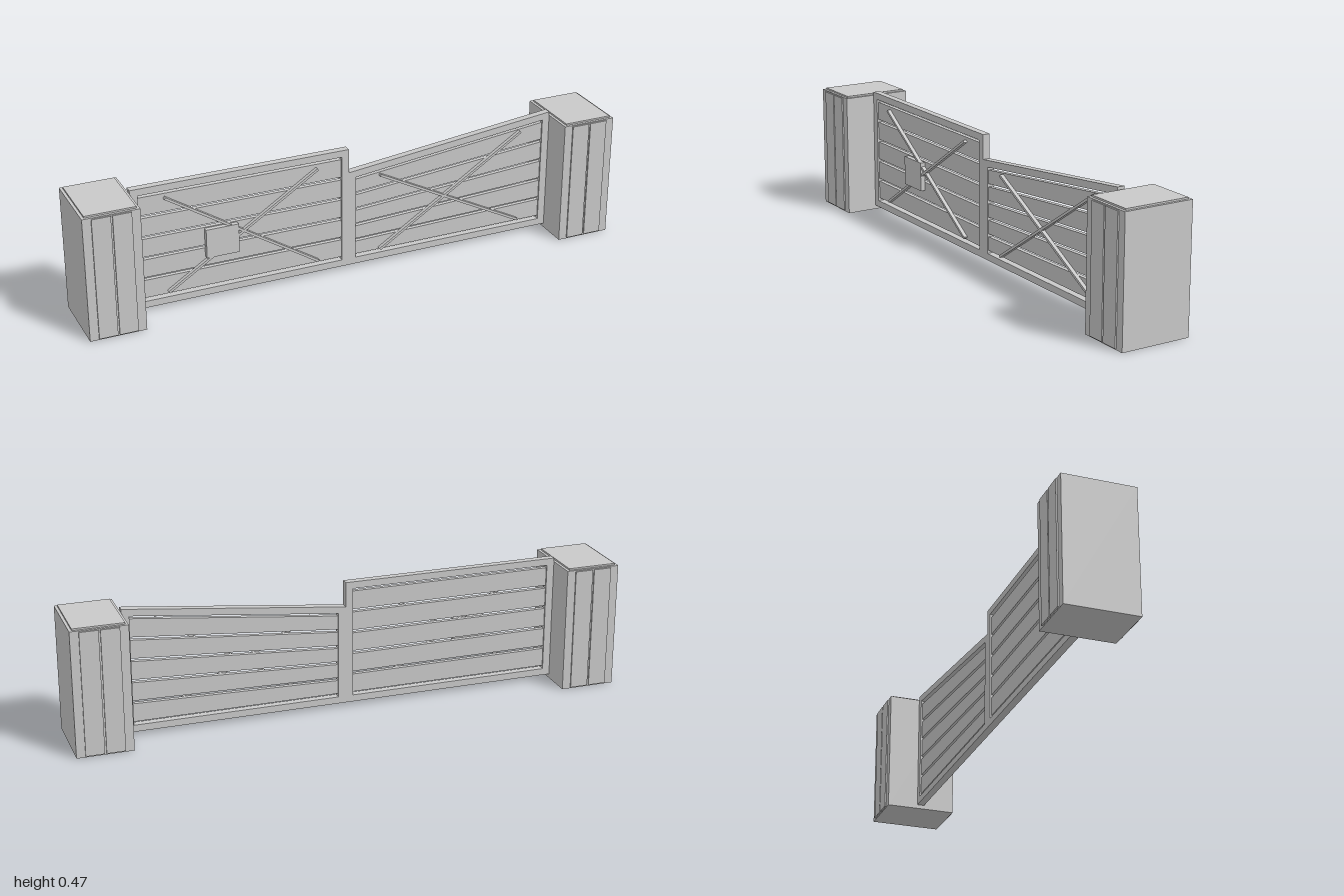
import * as THREE from 'three';

const grey = new THREE.MeshStandardMaterial({ color: 0xc8c8c8 });
grey.name = 'grey';

function box(name, x0, x1, y0, y1, z0, z1) {
  const mesh = new THREE.Mesh(new THREE.BoxGeometry(x1 - x0, y1 - y0, z1 - z0), grey);
  mesh.position.set((x0 + x1) / 2, (y0 + y1) / 2, (z0 + z1) / 2);
  mesh.name = name;
  return mesh;
}

// Four-cornered slab with vertical ends; l and r are [bottom, top] heights
function slab(name, x0, x1, l, r, z0, z1) {
  const shape = new THREE.Shape([
    new THREE.Vector2(x0, l[0]), new THREE.Vector2(x1, r[0]),
    new THREE.Vector2(x1, r[1]), new THREE.Vector2(x0, l[1]),
  ]);
  const geo = new THREE.ExtrudeGeometry(shape, { depth: z1 - z0, bevelEnabled: false });
  geo.translate(0, 0, z0);
  const mesh = new THREE.Mesh(geo, grey);
  mesh.name = name;
  return mesh;
}

// Thin diagonal bar between two points
function brace(x0, y0, x1, y1) {
  const dx = x1 - x0, dy = y1 - y0;
  const mesh = new THREE.Mesh(new THREE.BoxGeometry(Math.hypot(dx, dy), 0.009, 0.014), grey);
  mesh.position.set((x0 + x1) / 2, (y0 + y1) / 2, 0.015);
  mesh.rotation.z = Math.atan2(dy, dx);
  mesh.name = 'brace';
  return mesh;
}

// Gate pillar with cap plate and raised strips on front and back
function pillar(name, cx) {
  const g = new THREE.Group();
  g.name = name;
  g.add(box('pillarBody', cx - 0.1, cx + 0.1, 0, 0.457, -0.13, 0.13));
  g.add(box('pillarCap', cx - 0.09, cx + 0.09, 0.457, 0.463, -0.12, 0.12));
  for (const s of [-1, 1]) {
    for (const x of [-0.036, 0.036]) {
      const z = s * 0.1325;
      g.add(box('pillarStrip', cx + x - 0.033, cx + x + 0.033, 0.005, 0.453, z - 0.0025, z + 0.0025));
    }
  }
  return g;
}

// Gate leaf: frame, spaced boards and crossed braces; top runs from topL to topR
function leaf(name, x0, topL, topR, braces) {
  const g = new THREE.Group();
  g.name = name;
  const x1 = x0 + 0.8, t = 0.027, d = 0.0135, base = 0.015, rail = 0.025;
  const top = (x) => topL + (topR - topL) * (x - x0) / 0.8;
  const xa = x0 + t, xb = x1 - t;
  g.add(slab('stile', x0, xa, [base, top(x0)], [base, top(xa)], -d, d));
  g.add(slab('stile', xb, x1, [base, top(xb)], [base, top(x1)], -d, d));
  g.add(box('bottomRail', xa, xb, base, base + rail, -d, d));
  g.add(slab('topRail', xa, xb, [top(xa) - rail, top(xa)], [top(xb) - rail, top(xb)], -d, d));

  // Five boards share the opening, with six equal gaps
  const count = 5, gap = 0.011, low = base + rail;
  const span = (x, i) => {
    const h = (top(x) - rail - low - gap * (count + 1)) / count;
    const y = low + gap + i * (h + gap);
    return [y, y + h];
  };
  for (let i = 0; i < count; i++) {
    g.add(slab('board', xa, xb, span(xa, i), span(xb, i), -0.008, 0.008));
  }
  for (const b of braces) g.add(brace(...b));
  return g;
}

export function createModel() {
  const model = new THREE.Group();
  model.name = 'gate';
  model.add(pillar('rightPillar', -0.9), pillar('leftPillar', 0.9));

  const right = leaf('rightLeaf', -0.8, 0.47, 0.47,
    [[-0.68, 0.42, -0.12, 0.06], [-0.68, 0.06, -0.12, 0.42]]);
  right.add(box('lockBox', -0.54, -0.42, 0.165, 0.273, 0.008, 0.026));
  model.add(right);

  model.add(leaf('leftLeaf', 0, 0.38, 0.47,
    [[0.12, 0.35, 0.68, 0.06], [0.12, 0.055, 0.68, 0.415]]));
  return model;
}
